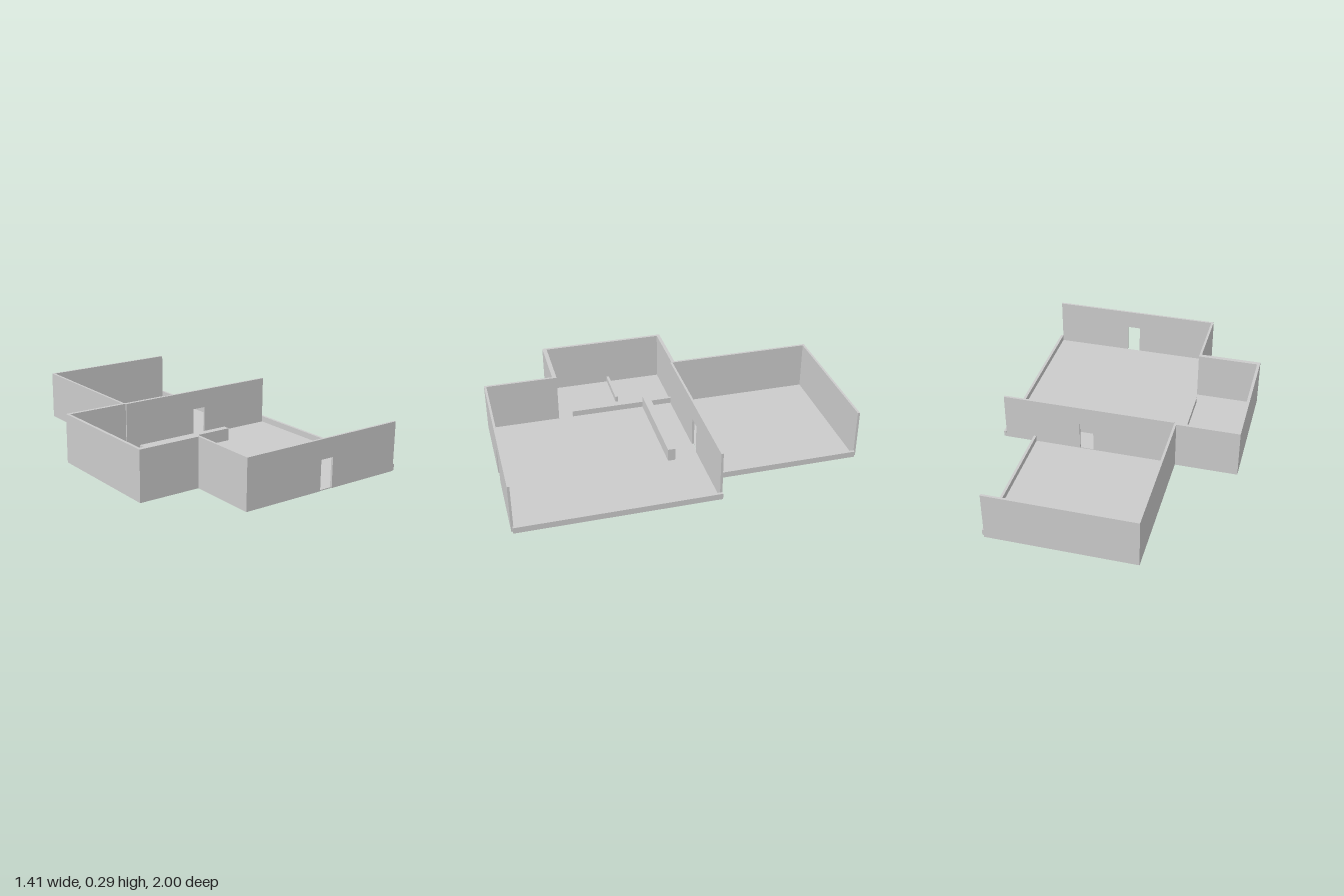
import * as THREE from 'three';

const BASE = 0.005; // floor thickness, walls start here
const TOP = 0.29;   // full wall height
const LOW = 0.04;   // sill and low divider height

export function createModel() {
  const house = new THREE.Group();
  house.name = 'floorPlan';
  const material = new THREE.MeshStandardMaterial({ color: 0xcccccc, flatShading: true });

  const add = (name, geometry) => {
    const mesh = new THREE.Mesh(geometry, material);
    mesh.name = name;
    house.add(mesh);
    return mesh;
  };

  // Box given by its limits on each axis
  const block = (name, x0, x1, z0, z1, y1 = TOP, y0 = BASE) => {
    const g = new THREE.BoxGeometry(x1 - x0, y1 - y0, z1 - z0);
    g.translate((x0 + x1) / 2, (y0 + y1) / 2, (z0 + z1) / 2);
    return add(name, g);
  };

  // Wall along x with a doorway cut up from its lower edge
  const doorWall = (name, x0, x1, z0, z1) => {
    const outline = [
      [x0, BASE], [0.148, BASE], [0.148, 0.178], [0.23, 0.178],
      [0.23, BASE], [x1, BASE], [x1, TOP], [x0, TOP],
    ].map(([x, y]) => new THREE.Vector2(x, y));
    const g = new THREE.ExtrudeGeometry(new THREE.Shape(outline), {
      depth: z1 - z0, bevelEnabled: false,
    });
    g.translate(0, 0, z0);
    return add(name, g);
  };

  // Floors
  block('mainFloor', -0.328, 0.688, -0.135, 0.987, BASE, 0);
  block('backFloor', -0.328, 0.502, -0.987, -0.14, BASE, 0);
  block('sideFloor', -0.688, -0.328, -0.135, 0.573, BASE, 0);

  // Walls with doorways
  doorWall('frontWall', -0.342, 0.685, 0.987, 1);
  doorWall('middleWall', -0.328, 0.685, -0.14, -0.127);

  // Main room left wall, in front of the side room
  block('mainLeftWall', -0.342, -0.328, 0.573, 0.987);

  // Back room
  block('backLeftWall', -0.342, -0.328, -1, -0.14);
  block('backWall', -0.328, 0.5, -1, -0.987);

  // Side room
  block('sideOuterWall', -0.705, -0.688, -0.155, 0.598);
  block('sideFrontWall', -0.688, -0.342, 0.573, 0.598);
  block('sideBackWall', -0.688, -0.328, -0.155, -0.135);

  // Low sills along the open side
  block('mainSill', 0.686, 0.702, -0.14, 0.992, LOW);
  block('backSill', 0.5, 0.515, -0.987, -0.14, LOW);

  // Low dividers inside
  block('roomDivider', -0.342, -0.328, -0.135, 0.488, LOW);
  block('sideDivider', -0.688, -0.428, 0.185, 0.2, LOW);
  block('counter', -0.328, 0.278, 0.01, 0.052, 0.08);

  return house;
}
